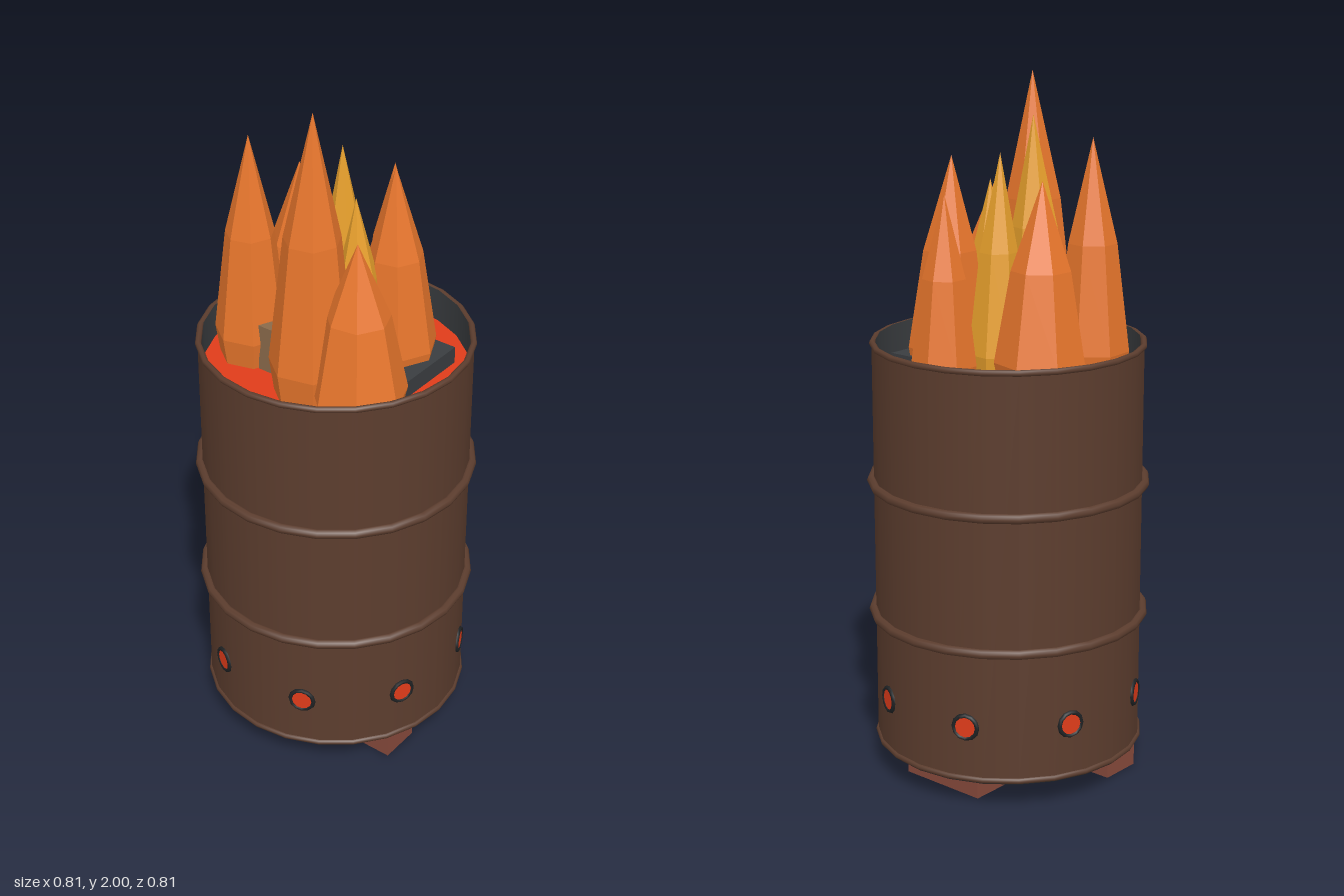
import * as THREE from 'three';

const mat = (color, extra = {}) => new THREE.MeshStandardMaterial({ color, ...extra });

export function createModel() {
  const model = new THREE.Group();
  const steel = mat(0x5c3d2e);
  const soot = mat(0x3a3d40);
  const black = mat(0x1f2224);
  const ember = mat(0xe03c1a);
  const brick = mat(0x86493b);
  const orange = mat(0xe8762c, { flatShading: true });
  const yellow = mat(0xe8a02c, { flatShading: true });

  function add(name, geometry, material, x = 0, y = 0, z = 0, parent = model) {
    const mesh = new THREE.Mesh(geometry, material);
    mesh.name = name;
    mesh.position.set(x, y, z);
    parent.add(mesh);
    return mesh;
  }

  const SIDES = 24, RADIUS = 0.385, BOTTOM = 0.085, TOP = 1.26, COALS = 1.17;

  // Drum: outer wall, sooty inner wall, base plate
  add('drumWall', new THREE.CylinderGeometry(RADIUS, RADIUS, TOP - BOTTOM, SIDES, 1, true),
    steel, 0, (TOP + BOTTOM) / 2);
  const inner = soot.clone();
  inner.side = THREE.BackSide;
  add('innerWall', new THREE.CylinderGeometry(0.373, 0.373, TOP - COALS + 0.02, SIDES, 1, true),
    inner, 0, (TOP + COALS) / 2);
  add('drumBase', new THREE.CylinderGeometry(RADIUS, RADIUS, 0.01, SIDES), black, 0, BOTTOM);

  // Rolled rims and the two stiffening ribs
  const hoops = [
    ['bottomRim', 0.09, 0.383, 0.009], ['lowerRib', 0.47, 0.391, 0.014],
    ['upperRib', 0.86, 0.391, 0.014], ['topRim', TOP, 0.383, 0.009],
  ];
  for (const [name, y, radius, tube] of hoops) {
    add(name, new THREE.TorusGeometry(radius, tube, 8, SIDES), steel, 0, y).rotation.x = Math.PI / 2;
  }

  // Glowing air vents around the foot of the drum
  for (let i = 0; i < 8; i++) {
    const a = (i + 0.5) * Math.PI / 4;
    const vent = new THREE.Group();
    vent.name = 'airVent';
    vent.position.set(Math.sin(a) * 0.383, 0.245, Math.cos(a) * 0.383);
    vent.rotation.y = a;
    add('ventRing', new THREE.TorusGeometry(0.034, 0.007, 6, 12), black, 0, 0, 0, vent);
    add('ventGlow', new THREE.CircleGeometry(0.034, 12), ember, 0, 0, 0.004, vent);
    model.add(vent);
  }

  // Three bricks holding the drum off the ground
  for (const [x, z] of [[-0.197, 0.117], [0.197, 0.117], [0, -0.228]]) {
    add('supportBrick', new THREE.BoxGeometry(0.27, 0.082, 0.125), brick, x, 0.041, z);
  }

  // Ember bed with fuel lying in it
  add('emberBed', new THREE.CylinderGeometry(0.373, 0.373, 0.04, SIDES), ember, 0, COALS - 0.02);
  add('charredSlab', new THREE.BoxGeometry(0.24, 0.06, 0.24), soot, 0.145, COALS + 0.02, -0.08);
  add('woodStub', new THREE.BoxGeometry(0.06, 0.15, 0.06), mat(0x8a6a4a), -0.12, 1.235, 0.127);

  // Flames: base x, base z, radius, tip x, tip z, tip height, turn in degrees
  const orangeFlames = [
    [-0.22, 0.1, 0.105, -0.22, 0.095, 1.84, -10],
    [-0.165, -0.06, 0.128, -0.155, -0.04, 1.73, 190],
    [0.043, 0.165, 0.12, 0.045, 0.155, 2.0, -12],
    [0.197, 0.155, 0.135, 0.185, 0.15, 1.67, -17],
    [0.137, -0.1, 0.115, 0.13, -0.09, 1.78, 90],
    [0.023, -0.243, 0.092, 0.02, -0.24, 1.7, 90],
  ];
  const yellowFlames = [
    [-0.028, -0.085, 0.082, -0.035, -0.075, 1.8, 200],
    [-0.04, 0.08, 0.1, -0.03, 0.07, 1.89, -18],
    [0.092, 0.015, 0.085, 0.075, 0.01, 1.71, 90],
  ];
  const flameProfile = [[0.88, 0], [1, 0.12], [0.66, 0.57], [0, 1]];

  function flame(name, [x, z, r, tipX, tipZ, tipY, turn], material) {
    const h = tipY - COALS;
    const points = flameProfile.map(([px, py]) => new THREE.Vector2(px * r, py * h));
    const geo = new THREE.LatheGeometry(points, 7, THREE.MathUtils.degToRad(turn));
    // lean the flame toward its tip
    const p = geo.attributes.position;
    for (let i = 0; i < p.count; i++) {
      const t = p.getY(i) / h;
      p.setX(i, p.getX(i) + (tipX - x) * t);
      p.setZ(i, p.getZ(i) + (tipZ - z) * t);
    }
    geo.computeVertexNormals();
    add(name, geo, material, x, COALS, z);
  }
  orangeFlames.forEach((f) => flame('outerFlame', f, orange));
  yellowFlames.forEach((f) => flame('innerFlame', f, yellow));

  return model;
}
